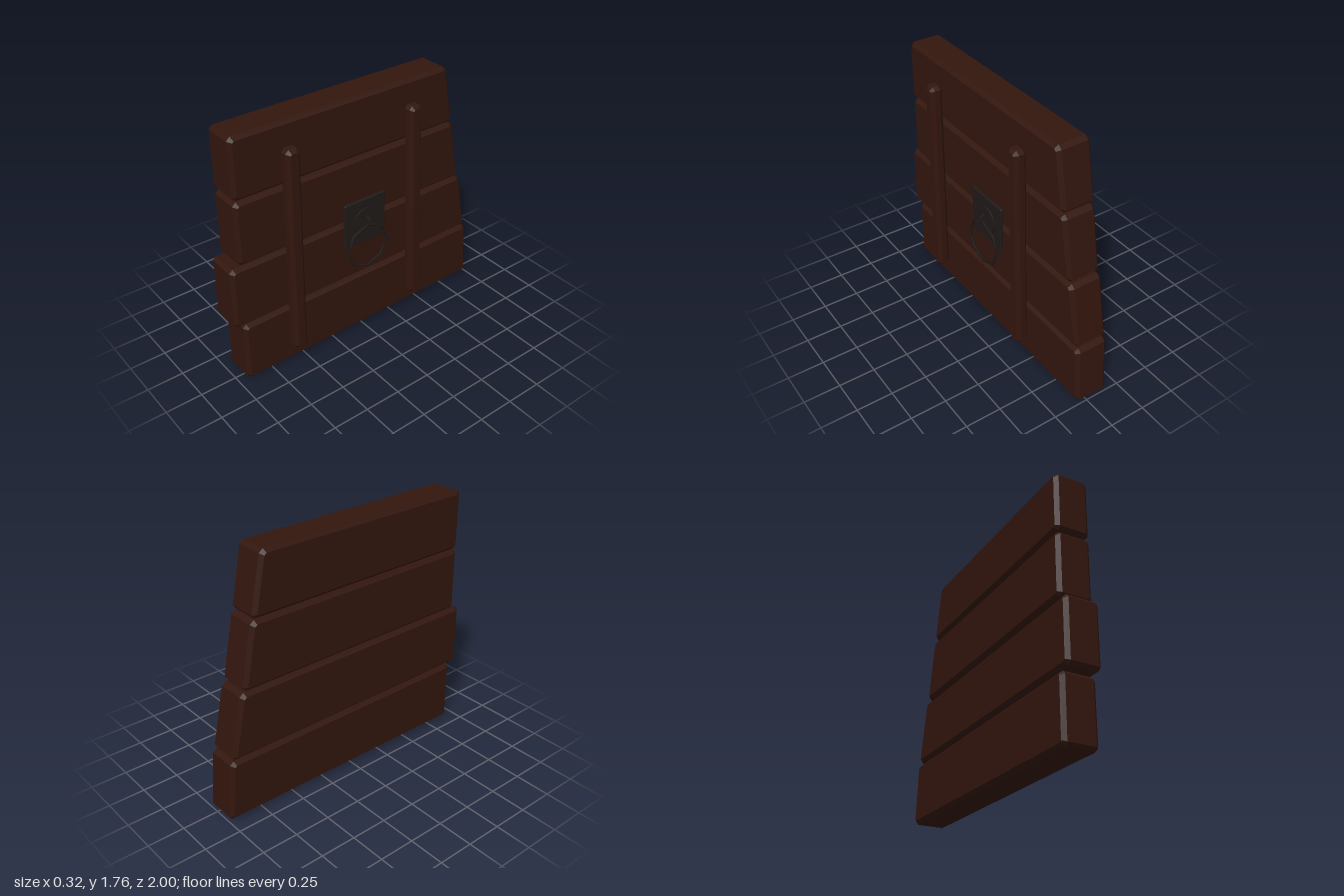
import * as THREE from 'three';

const wood = new THREE.MeshStandardMaterial({ color: 0x32160d });
const iron = new THREE.MeshStandardMaterial({ color: 0x201a18 });

// Cut every corner of a [z, y] outline by a distance c
function cutCorners(points, c) {
  const out = [];
  points.forEach(([z, y], i) => {
    const n = points.length;
    const p = new THREE.Vector2(-z, y);
    for (const j of [(i + n - 1) % n, (i + 1) % n]) {
      const q = new THREE.Vector2(-points[j][0], points[j][1]);
      out.push(p.clone().add(q.sub(p).setLength(c)));
    }
  });
  return out;
}

// Chamfered slab: outline in z and y, thickness from x0 to x1
function slab(name, points, x0, x1, bevel, material) {
  const geometry = new THREE.ExtrudeGeometry(new THREE.Shape(cutCorners(points, bevel)), {
    depth: x1 - x0 - 2 * bevel,
    bevelEnabled: true,
    bevelSegments: 1,
    bevelSize: bevel,
    bevelThickness: bevel,
    bevelOffset: -bevel,
  });
  geometry.translate(0, 0, x0 + bevel);
  geometry.rotateY(Math.PI / 2);
  const mesh = new THREE.Mesh(geometry, material);
  mesh.name = name;
  return mesh;
}

export function createModel() {
  const model = new THREE.Group();
  model.name = 'plankDoor';

  // Four thick planks, straight at the front and sloping at the back
  // [front z, top y, back z at top, bottom y, back z at bottom, bottom y at back]
  const planks = [
    [0.94, 0.44, -0.965, 0.0, -1.0, 0.015],
    [1.0, 0.888, -0.865, 0.447, -0.955, 0.447],
    [0.94, 1.337, -0.765, 0.896, -0.85, 0.896],
    [0.94, 1.757, -0.68, 1.345, -0.76, 1.345],
  ];
  planks.forEach(([zf, yt, zt, yb, zb, yBack], i) => {
    const outline = [[zf, yb], [zb, yBack], [zt, yt], [zf, yt]];
    model.add(slab('plank' + (i + 1), outline, -0.16, 0.075, 0.024, wood));
  });

  // Two battens, the rear one leaning with the sloping edge
  const battens = [
    ['frontBatten', 0.57, 0.57],
    ['rearBatten', -0.418, -0.358],
  ];
  for (const [name, zb, zt] of battens) {
    const outline = [[zb + 0.05, 0.135], [zb - 0.05, 0.135], [zt - 0.05, 1.605], [zt + 0.05, 1.605]];
    model.add(slab(name, outline, 0.074, 0.16, 0.023, wood));
  }

  // Iron handle: back plate, boss, staple and hanging ring
  const handle = new THREE.Group();
  handle.name = 'handle';
  const add = (name, geometry, x, y) => {
    const mesh = new THREE.Mesh(geometry, iron);
    mesh.name = name;
    mesh.position.set(x, y, 0);
    handle.add(mesh);
  };
  handle.add(slab('handlePlate', [[0.165, 0.705], [-0.165, 0.705], [-0.165, 1.035], [0.165, 1.035]],
    0.072, 0.095, 0.005, iron));
  add('handleBoss', new THREE.CylinderGeometry(0.1, 0.1, 0.015, 24).rotateZ(Math.PI / 2), 0.098, 0.87);
  add('handleStaple', new THREE.TorusGeometry(0.036, 0.006, 6, 16), 0.108, 0.875);
  add('handleRing', new THREE.TorusGeometry(0.16, 0.01, 6, 8).rotateY(Math.PI / 2), 0.12, 0.69);
  model.add(handle);

  return model;
}
